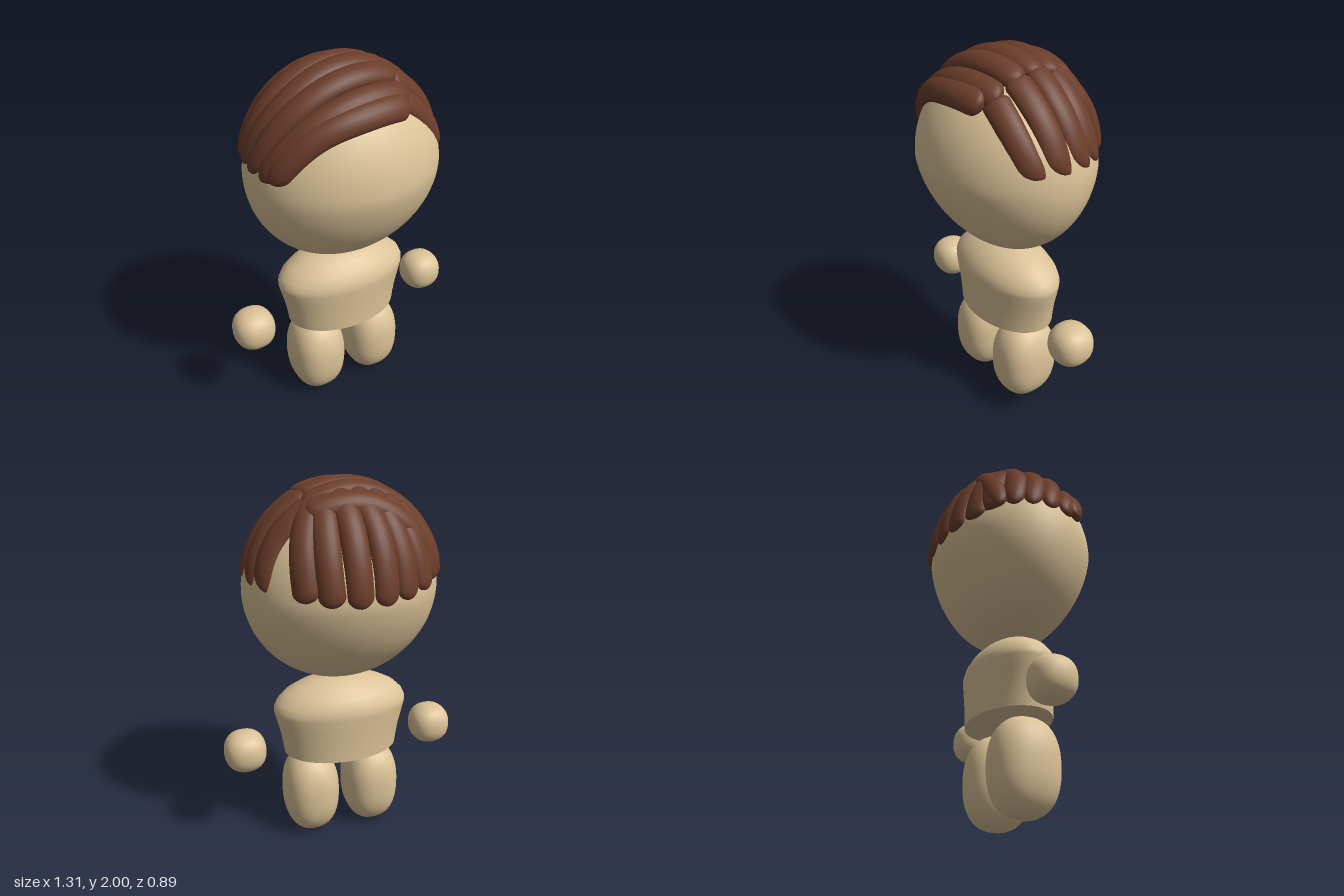
import * as THREE from 'three';
import { mergeVertices } from 'three/addons/utils/BufferGeometryUtils.js';

const skin = new THREE.MeshStandardMaterial({ color: 0xdcc398 });
const hairColor = new THREE.MeshStandardMaterial({ color: 0x6b3d2a });
const HEAD_Y = 1.44;
const SCALP = new THREE.Vector3(0.49, 0.52, 0.415);

// Weld the seams and recompute smooth normals
function smooth(geometry) {
  geometry.deleteAttribute('uv');
  geometry.deleteAttribute('normal');
  const g = mergeVertices(geometry, 1e-5);
  g.computeVertexNormals();
  return g;
}

function addMesh(parent, name, geometry, material, x = 0, y = 0, z = 0) {
  const mesh = new THREE.Mesh(geometry, material);
  mesh.name = name;
  mesh.position.set(x, y, z);
  parent.add(mesh);
  return mesh;
}

// Move every vertex by a rule
function deform(geometry, rule) {
  const p = geometry.attributes.position;
  const v = new THREE.Vector3();
  for (let i = 0; i < p.count; i++) {
    rule(v.fromBufferAttribute(p, i));
    p.setXYZ(i, v.x, v.y, v.z);
  }
  return geometry;
}

// Ellipsoid with slightly squared sides
function blob(rx, ry, rz, power) {
  const g = new THREE.SphereGeometry(1, 48, 32);
  deform(g, (v) => {
    const n = Math.abs(v.x) ** power + Math.abs(v.y) ** power + Math.abs(v.z) ** power;
    v.multiplyScalar(n ** (-1 / power)).multiply(new THREE.Vector3(rx, ry, rz));
  });
  return smooth(g);
}

// Scalp point from [x, z] seen from above, or [x, z, y]
function scalpPoint([x, z, y]) {
  const up = Math.sqrt(Math.max(0, 1 - (x / SCALP.x) ** 2 - (z / SCALP.z) ** 2));
  return toScalp(new THREE.Vector3(x, y === undefined ? up * SCALP.y : y - HEAD_Y, z));
}
function toScalp(v) {
  return v.divide(SCALP).normalize().multiply(SCALP);
}

// One lock of hair: a flattened, round-ended strand that hugs the scalp
function lockGeometry(points, w0, w1, { lift = 0, thick = 0.04, tip = 0.1, skew = 0 } = {}) {
  const curve = new THREE.CatmullRomCurve3(points.map(scalpPoint));
  const rows = 40, ring = 20, pos = [], index = [];
  for (let i = 0; i <= rows; i++) {
    const t = (1 - Math.cos((Math.PI * i) / rows)) / 2;
    const c = toScalp(curve.getPointAt(t));
    const n = c.clone().divide(SCALP).divide(SCALP).normalize();
    const side = curve.getTangentAt(t).cross(n).normalize();
    const round = (d, len) => Math.sqrt(Math.max(0, 1 - Math.max(0, 1 - d / len) ** 2));
    const end = round(1 - t, tip);
    const e = round(t, 0.07) * end;
    const w = w0 + (w1 - w0) * t;
    for (let j = 0; j < ring; j++) {
      const a = (j / ring) * Math.PI * 2;
      const offset = w * (e * Math.cos(a) + skew * (1 - end));
      const p = toScalp(c.clone().addScaledVector(side, offset));
      p.addScaledVector(n, lift + thick * Math.sqrt(e) * Math.sin(a));
      pos.push(p.x, p.y, p.z);
      if (i < rows) {
        const q = i * ring + j, r = i * ring + ((j + 1) % ring);
        index.push(q, q + ring, r, r, q + ring, r + ring);
      }
    }
  }
  const g = new THREE.BufferGeometry();
  g.setAttribute('position', new THREE.Float32BufferAttribute(pos, 3));
  g.setIndex(index);
  g.computeVertexNormals();
  return g;
}

function buildHair() {
  const hair = new THREE.Group();
  hair.name = 'hair';
  hair.position.y = HEAD_Y;
  const lock = (name, ...args) => addMesh(hair, name, lockGeometry(...args), hairColor);

  // Back locks hanging from the crown: start x, middle x, end x, end z, end y
  const back = [
    [-0.24, -0.37, -0.43, -0.22, 1.52], [-0.18, -0.28, -0.34, -0.32, 1.48],
    [-0.11, -0.18, -0.22, -0.38, 1.46], [-0.03, -0.08, -0.1, -0.41, 1.45],
    [0.05, 0.04, 0.03, -0.42, 1.45], [0.13, 0.16, 0.16, -0.4, 1.46],
    [0.18, 0.26, 0.28, -0.36, 1.48],
  ];
  for (const [a, b, c, z, y] of back) {
    lock('backLock', [[a, -0.12], [b, -0.29 + Math.abs(b) * 0.15], [c, z, y]], 0.065, 0.068);
  }

  // Locks combed from the parting over the right side: z at four stations
  const combed = [
    [0.27, 0.32, 0.28, 0.19, 0.025], [0.2, 0.24, 0.2, 0.12, 0.012],
    [0.09, 0.13, 0.11, 0.03, 0.006], [-0.02, 0.02, 0.02, -0.06, 0],
    [-0.12, -0.09, -0.09, -0.15, 0.004], [-0.17, -0.2, -0.22, -0.23, 0.01],
  ];
  combed.forEach(([a, b, c, d, lift], i) => {
    const path = i === 0
      ? [[0.19, a, 1.82], [-0.04, b, 1.85], [-0.29, c, 1.77], [-0.48, d, 1.55]]
      : [[0.22, a], [-0.1, b], [-0.34, c], [-0.47, d, 1.53]];
    lock('combedLock', path, 0.07, 0.06, { lift });
  });

  // Short pointed locks on the left side of the parting
  const sides = [[0.22, 0.21, 0.18], [0.1, 0.09, 0.055], [-0.02, -0.03, -0.07], [-0.13, -0.14, -0.18]];
  for (const [a, b, c] of sides) {
    lock('sideLock', [[0.19, a], [0.37, b], [0.48, c, 1.51]], 0.068, 0.068,
      { tip: 0.22, skew: -0.7, thick: 0.035 });
  }
  return hair;
}

export function createModel() {
  const model = new THREE.Group();
  model.name = 'figure';

  // Head, narrowing toward the chin from the side
  const head = deform(new THREE.SphereGeometry(1, 64, 48), (v) => {
    v.z *= 1 - 0.18 * Math.max(0, -v.y);
    v.multiply(new THREE.Vector3(0.51, 0.49, 0.432));
    v.z += 0.008;
  });
  addMesh(model, 'head', smooth(head), skin, 0, HEAD_Y);
  model.add(buildHair());

  // Torso: domed shoulders, tapering to a flat waist
  const profile = [
    [0.32, 0.51], [0.327, 0.56], [0.339, 0.63], [0.357, 0.7], [0.372, 0.76], [0.372, 0.785],
    [0.355, 0.822], [0.31, 0.866], [0.24, 0.904], [0.16, 0.932], [0.08, 0.946], [0, 0.95],
  ].map(([x, y]) => new THREE.Vector2(x, y));
  const depth = (y) => 0.65 - 0.07 * Math.min(1, (y - 0.51) / 0.25);
  const torso = new THREE.LatheGeometry(profile, 64);
  deform(torso, (v) => { v.z *= depth(v.y); });
  addMesh(model, 'torso', smooth(torso), skin);
  const waist = new THREE.CircleGeometry(0.32, 64).rotateX(Math.PI / 2).scale(1, 1, depth(0.51));
  addMesh(model, 'waist', waist, skin, 0, 0.51);

  // Floating hands and stubby legs
  for (const s of [1, -1]) {
    const label = s > 0 ? 'left' : 'right';
    addMesh(model, label + 'Hand', blob(0.114, 0.114, 0.114, 2.3), skin, s * 0.543, 0.56, 0);
    addMesh(model, label + 'Leg', blob(0.157, 0.246, 0.177, 2.4), skin, s * 0.177, 0.248, 0.01);
  }
  return model;
}
